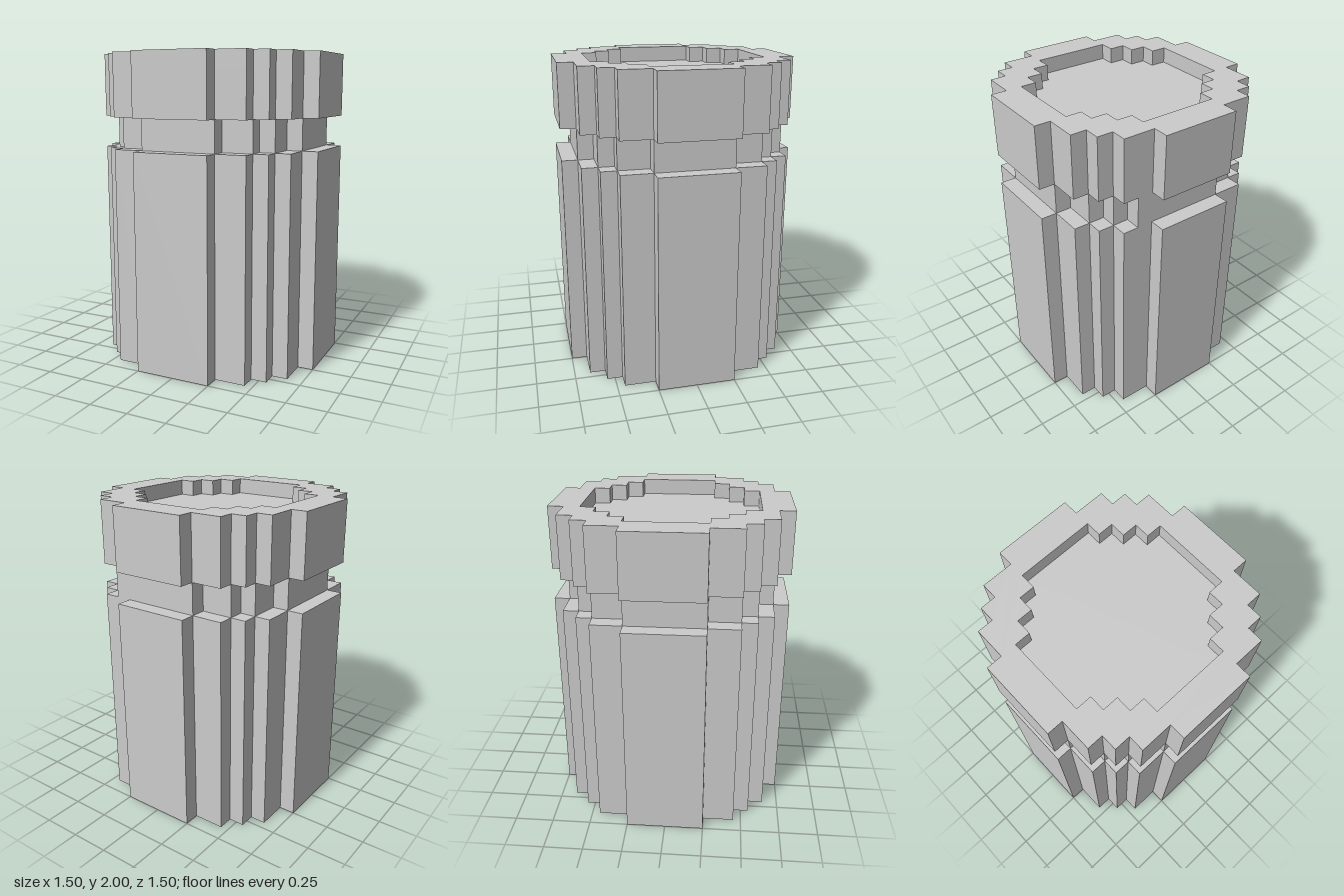
import * as THREE from 'three';

const material = new THREE.MeshStandardMaterial({ color: 0xcccccc, flatShading: true });

// Mirrors a stepped quarter outline into all four quadrants, counter-clockwise
function steppedRound(quarter) {
  const flipped = [...quarter].reverse();
  return [
    ...quarter,
    ...flipped.map(([x, y]) => [-x, y]),
    ...quarter.map(([x, y]) => [-x, -y]),
    ...flipped.map(([x, y]) => [x, -y]),
  ].map(([x, y]) => new THREE.Vector2(x, y));
}

// Quarter outlines run from +x round to the back
const wide = steppedRound([
  [0.75, 0.25], [0.65, 0.25], [0.65, 0.45], [0.55, 0.45], [0.55, 0.55],
  [0.45, 0.55], [0.45, 0.65], [0.25, 0.65], [0.25, 0.75],
]);
const narrow = steppedRound([
  [0.65, 0.25], [0.55, 0.25], [0.55, 0.45], [0.45, 0.45],
  [0.45, 0.55], [0.25, 0.55], [0.25, 0.65],
]);
const recess = steppedRound([
  [0.55, 0.25], [0.45, 0.25], [0.45, 0.35], [0.35, 0.35],
  [0.35, 0.45], [0.25, 0.45], [0.25, 0.55],
]);

// The neck has one extra block at its back left step
narrow[5].x = 0.35;
narrow[6].x = 0.35;

// Upright slab between two heights, with an optional hole
function slab(name, outline, bottom, top, hole) {
  const shape = new THREE.Shape(outline);
  if (hole) shape.holes.push(new THREE.Path(hole));
  const geometry = new THREE.ExtrudeGeometry(shape, { depth: top - bottom, bevelEnabled: false });
  geometry.rotateX(-Math.PI / 2);
  geometry.translate(0, bottom, 0);
  const mesh = new THREE.Mesh(geometry, material);
  mesh.name = name;
  return mesh;
}

export function createModel() {
  const group = new THREE.Group();
  group.name = 'jar';
  group.add(
    slab('body', wide, 0, 1.4),
    slab('neck', narrow, 1.4, 1.6),
    slab('lid', wide, 1.6, 1.9),
    slab('lidRim', wide, 1.9, 2, recess),
  );
  return group;
}
